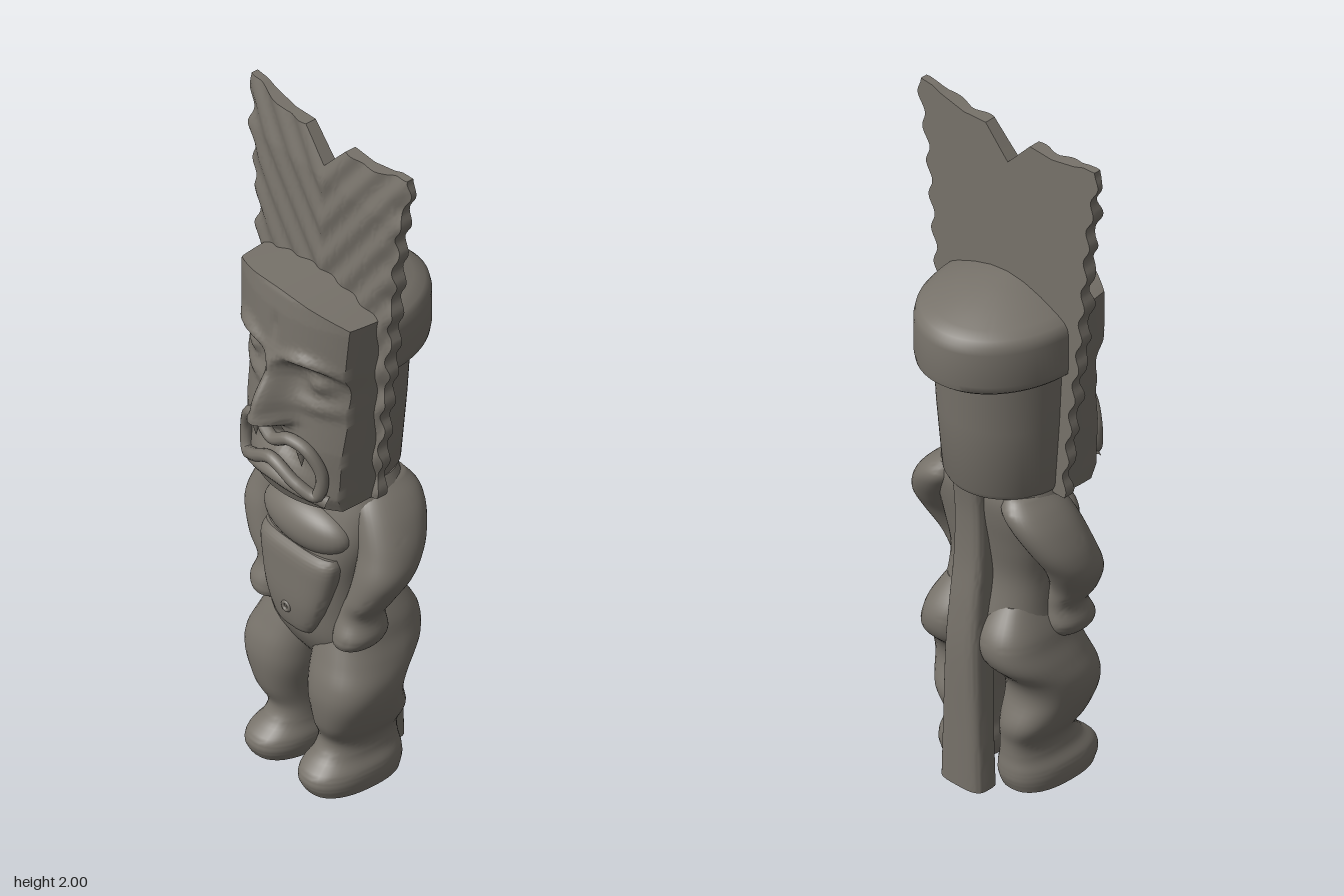
import * as THREE from 'three';
import { toCreasedNormals } from 'three/addons/utils/BufferGeometryUtils.js';

const stone = new THREE.MeshStandardMaterial({ color: 0x77726a });
stone.name = 'grey brown stone';

function add(group, name, geometry, x = 0, y = 0, z = 0) {
  const mesh = new THREE.Mesh(geometry, stone);
  mesh.name = name;
  mesh.position.set(x, y, z);
  group.add(mesh);
  return mesh;
}

// Smooth loft through rows [y, centreX, halfWidth, zBack, zFront], listed upwards
function loft(rows, power = 2.3, steps = 40, sides = 36) {
  const widths = new THREE.CatmullRomCurve3(rows.map(r => new THREE.Vector3(r[0], r[1], r[2])), false, 'catmullrom');
  const depths = new THREE.CatmullRomCurve3(rows.map(r => new THREE.Vector3(r[0], r[3], r[4])), false, 'catmullrom');
  const pos = [], index = [];
  const bend = v => Math.sign(v) * Math.abs(v) ** (2 / power);
  for (let i = 0; i <= steps; i++) {
    const w = widths.getPoint(i / steps), d = depths.getPoint(i / steps);
    for (let j = 0; j < sides; j++) {
      const a = j / sides * Math.PI * 2;
      pos.push(w.y + w.z * bend(Math.cos(a)), w.x, (d.y + d.z) / 2 + (d.z - d.y) / 2 * bend(Math.sin(a)));
    }
  }
  for (let i = 0; i < steps; i++) for (let j = 0; j < sides; j++) {
    const a = i * sides + j, b = i * sides + (j + 1) % sides;
    index.push(a, a + sides, b, b, a + sides, b + sides);
  }
  // End caps
  for (const [row, base] of [[rows[0], 0], [rows[rows.length - 1], steps * sides]]) {
    const c = pos.length / 3;
    pos.push(row[1], row[0], (row[3] + row[4]) / 2);
    for (let j = 0; j < sides; j++) {
      const a = base + j, b = base + (j + 1) % sides;
      if (base) index.push(c, b, a); else index.push(c, a, b);
    }
  }
  const g = new THREE.BufferGeometry();
  g.setAttribute('position', new THREE.Float32BufferAttribute(pos, 3));
  g.setIndex(index);
  return toCreasedNormals(g, 0.9);
}

// Box grid whose vertices are moved by rule(u, v, w), u in -1..1, v and w in 0..1
function moulded(nu, nv, nw, rule, crease = 0.8) {
  const g = new THREE.BoxGeometry(2, 1, 1, nu, nv, nw), p = g.attributes.position;
  for (let i = 0; i < p.count; i++) p.setXYZ(i, ...rule(p.getX(i), p.getY(i) + 0.5, p.getZ(i) + 0.5));
  return toCreasedNormals(g, crease);
}

// Linear lookup in [key, value] pairs
function lookup(table, k) {
  let i = 1;
  while (i < table.length - 1 && table[i][0] < k) i++;
  const [a, b] = [table[i - 1], table[i]];
  return THREE.MathUtils.lerp(a[1], b[1], THREE.MathUtils.clamp((k - a[0]) / (b[0] - a[0]), 0, 1));
}

const bump = (x, y, cx, cy, sx, sy) => Math.exp(-(((x - cx) / sx) ** 2) - ((y - cy) / sy) ** 2);
const faceWidth = y => 0.19 + (y - 0.93) * 0.07;
const faceBase = (x, y) => lookup([[0.92, 0.185], [0.96, 0.205], [1.1, 0.2], [1.2, 0.185], [1.3, 0.185],
  [1.38, 0.205], [1.5, 0.198], [1.55, 0.19], [1.57, 0.18]], y) - 0.075 * Math.abs(x / faceWidth(y)) ** 2.2;

// Brow, sockets, eyes, nose, cheeks and mouth hollow as relief
function faceRelief(x, y) {
  const ax = Math.abs(x);
  let z = faceBase(x, y);
  z += 0.022 * bump(ax, y + 0.9 * (ax - 0.11) ** 2 * 4, 0.11, 1.385, 0.1, 0.022);
  z -= 0.03 * bump(ax, y, 0.115, 1.31, 0.075, 0.05);
  z += 0.036 * bump(ax, y, 0.13, 1.305, 0.042, 0.03);
  z += 0.012 * bump(ax, y, 0.13, 1.235, 0.07, 0.025);
  const nose = THREE.MathUtils.smoothstep(y, 1.135, 1.175) * (1 - THREE.MathUtils.smoothstep(y, 1.19, 1.42));
  z += 0.098 * nose * Math.exp(-((ax / (0.026 + 0.018 * nose)) ** 2));
  z += 0.022 * bump(ax, y, 0.036, 1.17, 0.022, 0.022);
  z -= 0.035 * bump(ax, y + ax * 0.4, 0, 1.085, 0.1, 0.035);
  z -= 0.006 * bump(x, y, 0, 1.45, 0.012, 0.03);
  return z;
}

function buildHead(group) {
  add(group, 'face', moulded(72, 90, 6, (u, v, w) => {
    const y = 0.925 + v * (0.635 - 0.045 * u * u);
    const x = u * faceWidth(y) * (1 - 0.05 * w * w);
    return [x, y - 0.015 * w * (1 - v) ** 8, -0.002 + w * faceRelief(x, y)];
  }));

  // Down-turned lips around the open mouth
  const half = [[0.06, 1.115], [0.115, 1.1], [0.152, 1.03], [0.138, 0.962], [0.085, 0.985]];
  const outline = [[0, 1.09], ...half, [0, 1.025], ...half.slice().reverse().map(([x, y]) => [-x, y])];
  const lip = new THREE.CatmullRomCurve3(outline.map(([x, y]) => new THREE.Vector3(x, y, faceBase(x, y) + 0.006)), true);
  add(group, 'lips', new THREE.TubeGeometry(lip, 90, 0.018, 10, true));
  const chin = new THREE.CatmullRomCurve3([-0.16, -0.08, 0, 0.08, 0.16].map(x =>
    new THREE.Vector3(x, 0.945 + 0.03 * Math.cos(x * 10), faceBase(x, 0.96) - 0.004)));
  add(group, 'chin', new THREE.TubeGeometry(chin, 40, 0.02, 10));
  for (const s of [-1, 1]) {
    const tooth = add(group, 'tooth', new THREE.ConeGeometry(0.014, 0.05, 10), s * 0.092, 1.062, 0.185);
    tooth.rotation.z = Math.PI;
  }

  // Feathered crest: flat back, ridged front, scalloped edges and notched top
  const widths = [[0.9, 0.198], [1.2, 0.23], [1.4, 0.256], [1.6, 0.274], [1.8, 0.292], [1.95, 0.318], [2, 0.324]];
  const tops = [[0, 1.885], [0.09, 1.915], [0.25, 1.972], [0.5, 1.968], [0.75, 1.985], [0.85, 1.997], [1, 2]];
  add(group, 'feather crest', moulded(72, 110, 2, (u, v, w) => {
    const a = Math.abs(u), y = 0.92 + v * (lookup(tops, a) - 0.92);
    const x = u * (lookup(widths, y) + 0.009 * Math.sin(y * 62) * a ** 6);
    const ridge = 0.005 * Math.cos((1.35 * Math.abs(x) - y) * 48);
    const thick = lookup([[0.9, 0.04], [1.5, 0.052], [1.85, 0.048], [2, 0.03]], y) + ridge - 0.014 * a ** 8;
    return [x, y, -0.008 + w * thick];
  }));

  // Half-round back of the head with an overhanging domed cap
  const halfLathe = (points, depth) => {
    const g = new THREE.LatheGeometry(points.map(p => new THREE.Vector2(...p)), 48, Math.PI / 2, Math.PI);
    g.scale(1, 1, depth);
    return toCreasedNormals(g, 0.7);
  };
  add(group, 'head back', halfLathe([[0.001, 0.925], [0.165, 0.93], [0.172, 0.945], [0.188, 1.15], [0.198, 1.34]], 1.05));
  add(group, 'cap', halfLathe([[0.17, 1.325], [0.208, 1.31], [0.218, 1.32], [0.221, 1.34], [0.221, 1.44], [0.217, 1.46],
    [0.206, 1.474], [0.18, 1.489], [0.12, 1.515], [0.06, 1.533], [0.001, 1.54]], 1.265));
}

function buildBody(group) {
  add(group, 'torso', loft([[0.35, 0, 0.08, -0.1, 0.08], [0.4, 0, 0.15, -0.14, 0.115], [0.46, 0, 0.175, -0.15, 0.14],
    [0.55, 0, 0.165, -0.13, 0.15], [0.65, 0, 0.165, -0.11, 0.15], [0.75, 0, 0.185, -0.12, 0.14],
    [0.84, 0, 0.195, -0.135, 0.11], [0.9, 0, 0.185, -0.14, 0.09], [0.95, 0, 0.16, -0.13, 0.08]], 2.6));
  add(group, 'belly', loft([[0.455, 0, 0.04, 0.05, 0.135], [0.475, 0, 0.075, 0.05, 0.158], [0.55, 0, 0.11, 0.05, 0.17],
    [0.64, 0, 0.135, 0.05, 0.168], [0.7, 0, 0.145, 0.05, 0.163], [0.73, 0, 0.14, 0.05, 0.145]], 3.2));
  add(group, 'chest', new THREE.SphereGeometry(1, 36, 24), 0, 0.785, 0.09).scale.set(0.16, 0.078, 0.075);
  add(group, 'navel', new THREE.TorusGeometry(0.012, 0.006, 8, 20), 0, 0.535, 0.168);
  add(group, 'back post', loft([[0, 0, 0.075, -0.188, -0.1], [0.2, 0, 0.068, -0.188, -0.1], [0.42, 0, 0.06, -0.188, -0.09],
    [0.56, 0, 0.055, -0.178, -0.08], [0.7, 0, 0.052, -0.162, -0.08], [0.84, 0, 0.05, -0.16, -0.08],
    [0.95, 0, 0.052, -0.17, -0.08]], 3.5));

  // Limbs, mirrored by the sign of their centre line
  const leg = [[0, 0.11, 0.085, -0.1, 0.18], [0.03, 0.108, 0.09, -0.11, 0.194], [0.06, 0.106, 0.087, -0.11, 0.185],
    [0.095, 0.102, 0.073, -0.105, 0.145], [0.14, 0.102, 0.07, -0.105, 0.125], [0.2, 0.118, 0.087, -0.113, 0.15],
    [0.28, 0.127, 0.108, -0.085, 0.163], [0.34, 0.126, 0.114, -0.1, 0.158], [0.4, 0.112, 0.11, -0.155, 0.138],
    [0.45, 0.103, 0.098, -0.172, 0.12], [0.5, 0.095, 0.088, -0.16, 0.1], [0.57, 0.085, 0.06, -0.11, 0.06]];
  const arm = [[0.455, 0.16, 0.025, 0.02, 0.1], [0.47, 0.162, 0.05, -0.005, 0.13], [0.505, 0.168, 0.06, -0.02, 0.132],
    [0.56, 0.165, 0.053, -0.015, 0.11], [0.62, 0.198, 0.058, -0.02, 0.11], [0.7, 0.222, 0.073, -0.06, 0.1],
    [0.77, 0.212, 0.075, -0.105, 0.08], [0.84, 0.178, 0.075, -0.138, 0.065], [0.89, 0.145, 0.068, -0.145, 0.05],
    [0.93, 0.12, 0.045, -0.12, 0.02]];
  for (const [side, s] of [['left', 1], ['right', -1]]) {
    const mirror = rows => rows.map(([y, cx, ...rest]) => [y, s * cx, ...rest]);
    add(group, side + ' leg', loft(mirror(leg), 2.4, 56));
    add(group, side + ' arm', loft(mirror(arm), 2.2, 48));
  }
}

export function createModel() {
  const model = new THREE.Group();
  model.name = 'carved statue';
  const head = new THREE.Group(), body = new THREE.Group();
  head.name = 'head';
  body.name = 'body';
  body.position.x = 0.01;
  buildHead(head);
  buildBody(body);
  model.add(head, body);
  return model;
}
